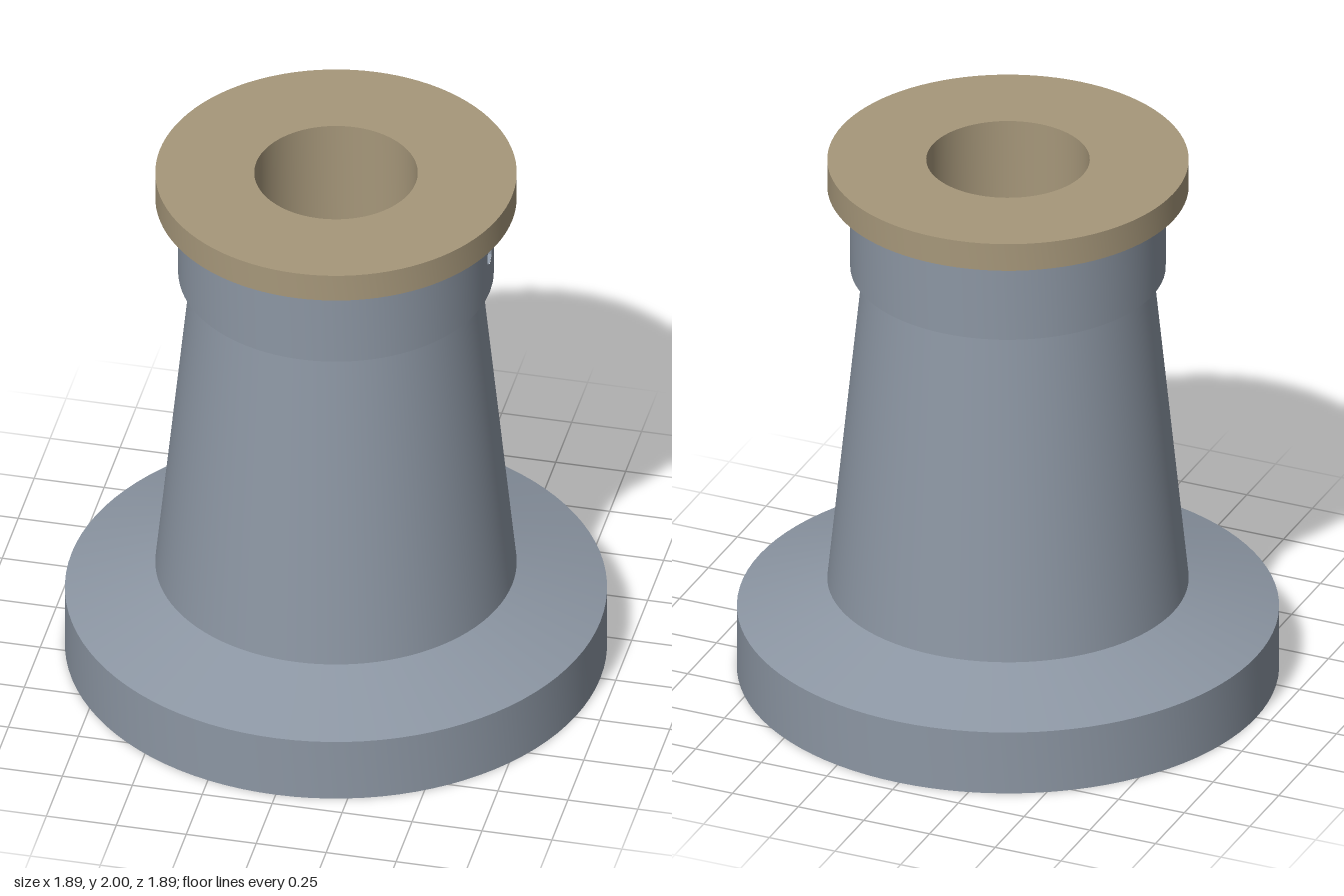
import * as THREE from 'three';
import { toCreasedNormals } from 'three/addons/utils/BufferGeometryUtils.js';

const SEG = 96;
const steel = new THREE.MeshStandardMaterial({ color: 0x8c96a3 });
steel.name = 'steelGrey';
const bronze = new THREE.MeshStandardMaterial({ color: 0xa6977a });
bronze.name = 'bronzeTan';

// Revolved surface: profile runs up on outer walls and down on inner walls
function revolve(profile, seg = SEG, start = 0, length = Math.PI * 2) {
  const pts = profile.map(([r, y]) => new THREE.Vector2(r, y));
  return toCreasedNormals(new THREE.LatheGeometry(pts, seg, start, length), 0.4);
}

function circlePath(x, y, r, n) {
  const pts = [];
  for (let i = 0; i < n; i++) {
    const a = (i / n) * Math.PI * 2 + Math.PI / 2;
    pts.push(new THREE.Vector2(x + r * Math.cos(a), y + r * Math.sin(a)));
  }
  return pts;
}

export function createModel() {
  const group = new THREE.Group();
  const add = (name, geometry, material) => {
    const mesh = new THREE.Mesh(geometry, material);
    mesh.name = name;
    group.add(mesh);
    return mesh;
  };

  // Flanged base and tapered column, with the ledge under the collar
  add('housing', revolve([[0.945, 0], [0.945, 0.24], [0.63, 0.35], [0.505, 1.58], [0.55, 1.58]]), steel);

  // Funnel-shaped underside leading into the straight bore
  add('innerBore', revolve([[0.285, 1.5], [0.285, 0.46], [0.71, 0]]), steel);

  // Underside ring with four blind bolt holes on the diagonals
  const ring = new THREE.Shape(circlePath(0, 0, 0.945, SEG));
  ring.holes.push(new THREE.Path(circlePath(0, 0, 0.71, SEG)));
  for (let i = 0; i < 4; i++) {
    const a = Math.PI / 4 + (i * Math.PI) / 2;
    const x = 0.82 * Math.cos(a), z = 0.82 * Math.sin(a);
    ring.holes.push(new THREE.Path(circlePath(x, z, 0.075, 32)));
    add('boltHole', revolve([[0, 0.19], [0.075, 0.19], [0.075, 0]], 32), steel).position.set(x, 0, z);
  }
  add('baseUnderside', new THREE.ShapeGeometry(ring).rotateX(Math.PI / 2), steel);

  // Collar, leaving a narrow sector open on the +x side
  const R = 0.55, Y0 = 1.58, Y1 = 1.895, holeY = 1.735, holeR = 0.037;
  const gap = (Math.PI * 2) / 64;
  add('collar', revolve([[R, Y0], [R, Y1]], SEG, Math.PI / 2 + gap, Math.PI * 2 - 2 * gap), steel);

  // Curved panel that fills the sector around the hexagonal hole
  const w = gap * R;
  const panel = new THREE.Shape([[-w, Y0], [0, Y0], [w, Y0], [w, Y1], [0, Y1], [-w, Y1]]
    .map(([x, y]) => new THREE.Vector2(x, y)));
  panel.holes.push(new THREE.Path(circlePath(0, holeY, holeR, 6)));
  const panelGeo = new THREE.ShapeGeometry(panel);
  const pos = panelGeo.attributes.position, nor = panelGeo.attributes.normal;
  for (let i = 0; i < pos.count; i++) {
    const t = pos.getX(i) / R;
    pos.setXYZ(i, R * Math.cos(t), pos.getY(i), -R * Math.sin(t));
    nor.setXYZ(i, Math.cos(t), 0, -Math.sin(t));
  }
  add('collarPanel', panelGeo, steel);

  // Blind hexagonal hole for the locking screw
  const hex = revolve([[holeR, 0.549], [holeR, 0.46], [0, 0.46]], 6);
  hex.rotateY(Math.PI / 2).rotateZ(-Math.PI / 2);
  add('lockingScrewHole', hex, steel).position.y = holeY;

  // Flanged bushing pressed into the collar
  add('bushing', revolve([[0.285, 1.5], [0.41, 1.5], [0.41, Y1], [0.63, Y1], [0.63, 2], [0.285, 2], [0.285, 1.5]]), bronze);

  return group;
}
